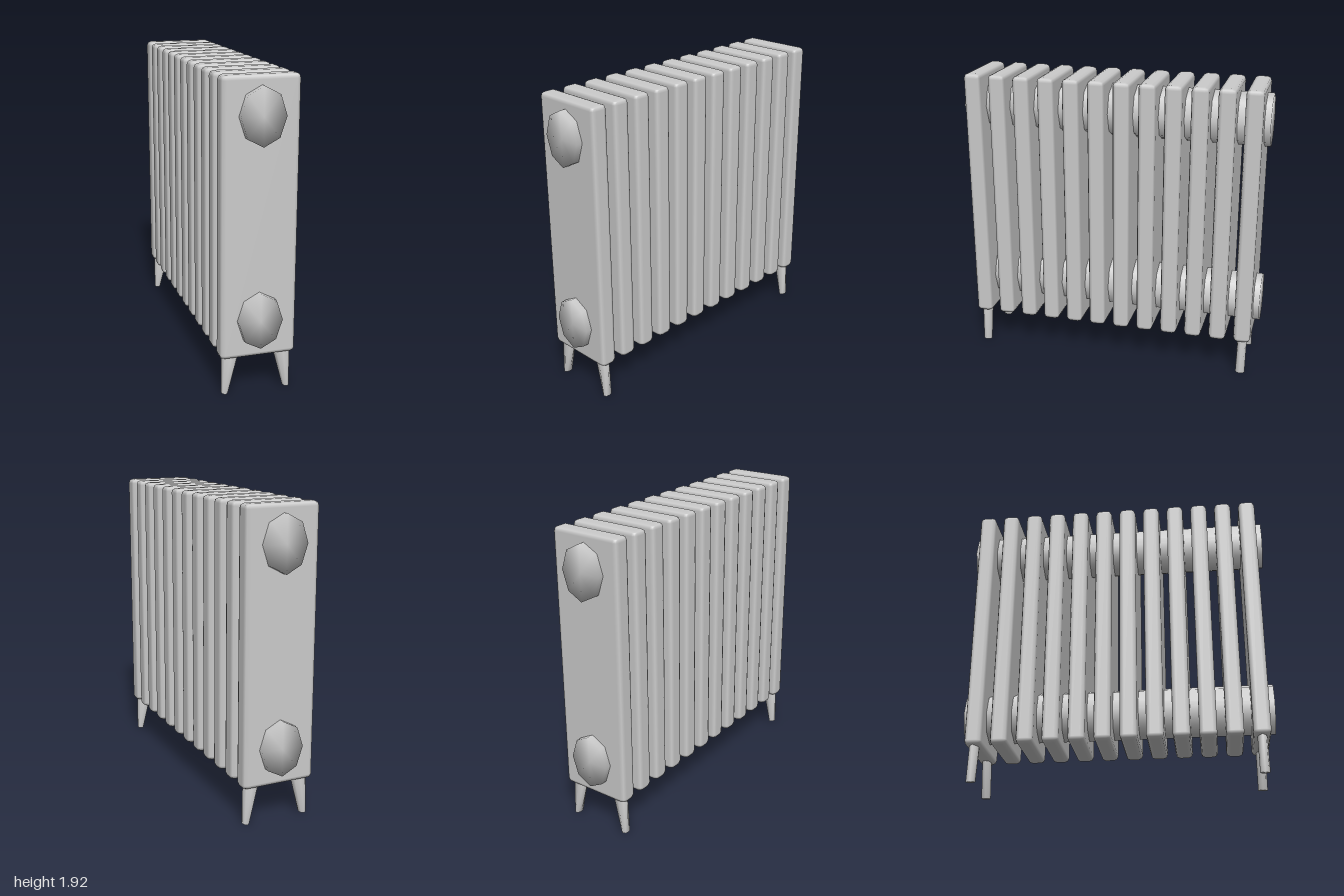
import * as THREE from 'three';
import { mergeVertices } from 'three/addons/utils/BufferGeometryUtils.js';
import { RoundedBoxGeometry } from 'three/addons/geometries/RoundedBoxGeometry.js';

const material = new THREE.MeshStandardMaterial({ color: 0xcccccc });

function addPart(parent, name, geometry, x = 0, y = 0, z = 0) {
  const mesh = new THREE.Mesh(geometry, material);
  mesh.name = name;
  mesh.position.set(x, y, z);
  parent.add(mesh);
  return mesh;
}

// Share vertices between wall and caps so the shading runs softly over the rims
function softened(geometry) {
  geometry.deleteAttribute('uv');
  geometry.deleteAttribute('normal');
  const merged = mergeVertices(geometry, 1e-4);
  merged.computeVertexNormals();
  return merged;
}

// Eight-sided oval pipe along z, with a corner pointing straight up
function pipeGeometry() {
  const g = new THREE.CylinderGeometry(1, 1, 2, 8);
  g.rotateX(Math.PI / 2);
  g.scale(0.135, 0.172, 1);
  return softened(g);
}

// Leg with a straight outer edge and an inner edge that slopes outwards to the foot
function legGeometry(side) {
  const top = 0.26, outer = 0.217;
  const g = new THREE.CylinderGeometry(1, 1, top, 8);
  g.translate(0, top / 2, 0);
  const p = g.attributes.position;
  for (let i = 0; i < p.count; i++) {
    const rx = THREE.MathUtils.lerp(0.021, 0.056, p.getY(i) / top);
    p.setX(i, side * (outer - rx) + p.getX(i) * rx);
    p.setZ(i, p.getZ(i) * 0.031);
  }
  return softened(g);
}

export function createModel() {
  const radiator = new THREE.Group();
  radiator.name = 'radiator';

  // Row of upright fins
  const finCount = 12, endZ = 0.905;
  const fin = new RoundedBoxGeometry(0.47, 1.685, 0.11, 1, 0.028);
  for (let i = 0; i < finCount; i++) {
    const z = endZ - (i * 2 * endZ) / (finCount - 1);
    addPart(radiator, `fin${i + 1}`, fin, 0, 1.078, z);
  }

  // Upper and lower pipes through all fins
  const pipe = pipeGeometry();
  addPart(radiator, 'upperPipe', pipe, 0, 1.692, 0);
  addPart(radiator, 'lowerPipe', pipe, 0, 0.476, 0);

  // Legs below the two end fins
  for (const [sideName, side] of [['Left', 1], ['Right', -1]]) {
    const leg = legGeometry(side);
    addPart(radiator, `front${sideName}Leg`, leg, 0, 0, endZ);
    addPart(radiator, `back${sideName}Leg`, leg, 0, 0, -endZ);
  }

  return radiator;
}
